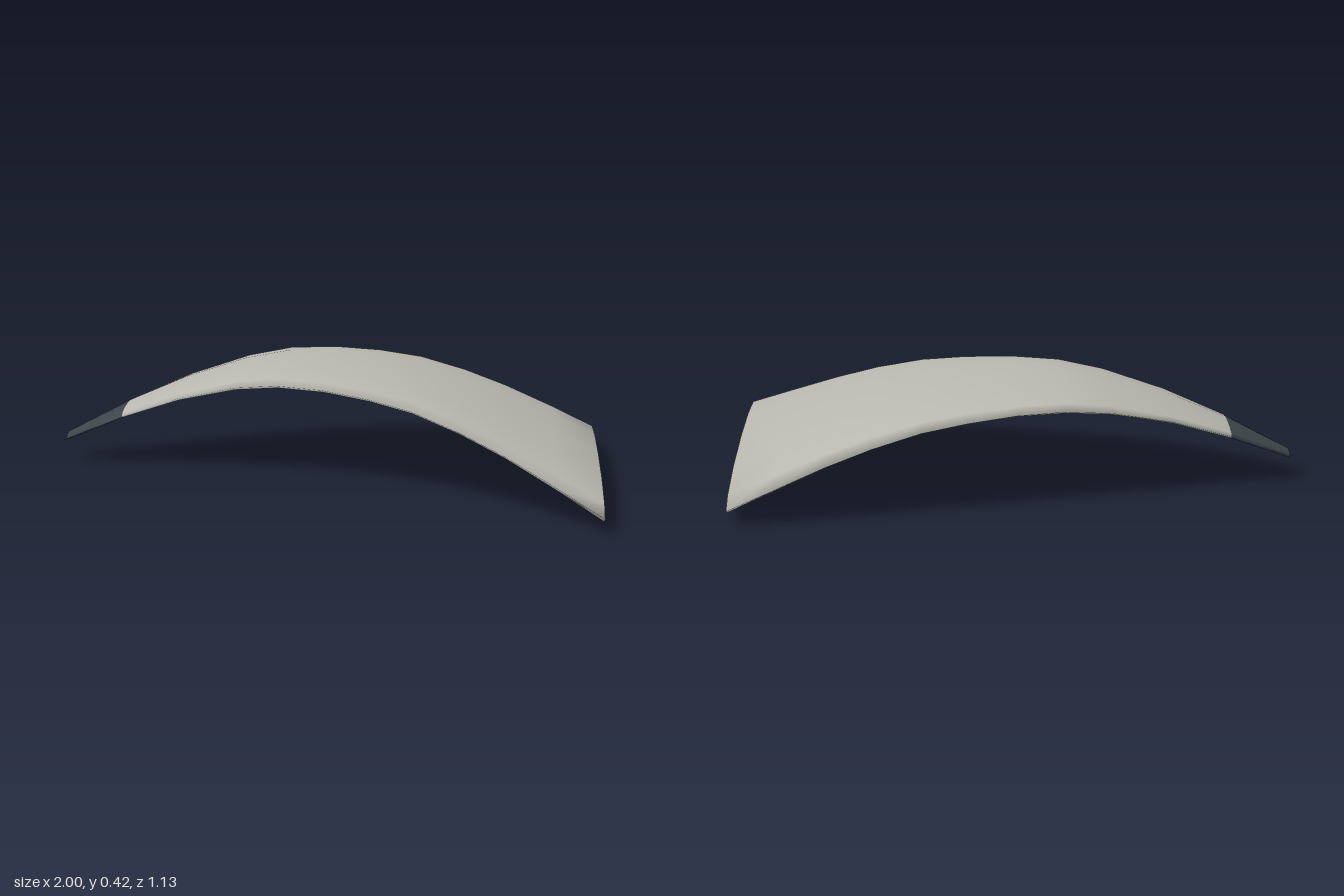
import * as THREE from 'three';

// Cross-section stations: x, back edge z, front edge z, centre y, half thickness
const STATIONS = [
  [-1.0, -0.2, -0.12, 0.1, 0.014],
  [-0.77, -0.283, -0.055, 0.21, 0.02],
  [-0.55, -0.36, 0.0, 0.296, 0.024],
  [-0.33, -0.43, 0.055, 0.357, 0.03],
  [-0.17, -0.473, 0.097, 0.38, 0.035],
  [0.0, -0.505, 0.145, 0.38, 0.036],
  [0.17, -0.532, 0.197, 0.364, 0.038],
  [0.33, -0.55, 0.253, 0.337, 0.04],
  [0.5, -0.562, 0.325, 0.286, 0.043],
  [0.66, -0.567, 0.392, 0.224, 0.048],
  [0.84, -0.567, 0.478, 0.142, 0.056],
  [1.0, -0.555, 0.56, 0.065, 0.065],
];
const SIDES = 12;

export function createModel() {
  const shellGrey = new THREE.MeshStandardMaterial({ color: 0xb8b8b0 });
  shellGrey.name = 'shellGrey';
  const tipSlate = new THREE.MeshStandardMaterial({ color: 0x3d464d });
  tipSlate.name = 'tipSlate';

  // Flattened twelve-sided rings swept along the arch
  const positions = [];
  for (const [x, back, front, y, thick] of STATIONS) {
    for (let k = 0; k < SIDES; k++) {
      const a = (k / SIDES) * Math.PI * 2;
      positions.push(x, y + thick * Math.sin(a), (back + front) / 2 + ((front - back) / 2) * Math.cos(a));
    }
  }

  const index = [];
  // Narrow end cap
  for (let k = 1; k < SIDES - 1; k++) index.push(0, k, k + 1);
  let tipCount = 0;
  for (let s = 0; s < STATIONS.length - 1; s++) {
    for (let k = 0; k < SIDES; k++) {
      const a = s * SIDES + k;
      const b = s * SIDES + ((k + 1) % SIDES);
      index.push(a, a + SIDES, b + SIDES, a, b + SIDES, b);
    }
    if (s === 0) tipCount = index.length;
  }
  // Wide end cap
  const last = (STATIONS.length - 1) * SIDES;
  for (let k = 1; k < SIDES - 1; k++) index.push(last, last + k + 1, last + k);

  const geometry = new THREE.BufferGeometry();
  geometry.setAttribute('position', new THREE.Float32BufferAttribute(positions, 3));
  geometry.setIndex(index);
  geometry.computeVertexNormals();
  // Dark tip first, then the grey body
  geometry.addGroup(0, tipCount, 0);
  geometry.addGroup(tipCount, index.length - tipCount, 1);

  const blade = new THREE.Mesh(geometry, [tipSlate, shellGrey]);
  blade.name = 'archedBlade';
  const group = new THREE.Group();
  group.name = 'curvedFin';
  group.add(blade);
  return group;
}
